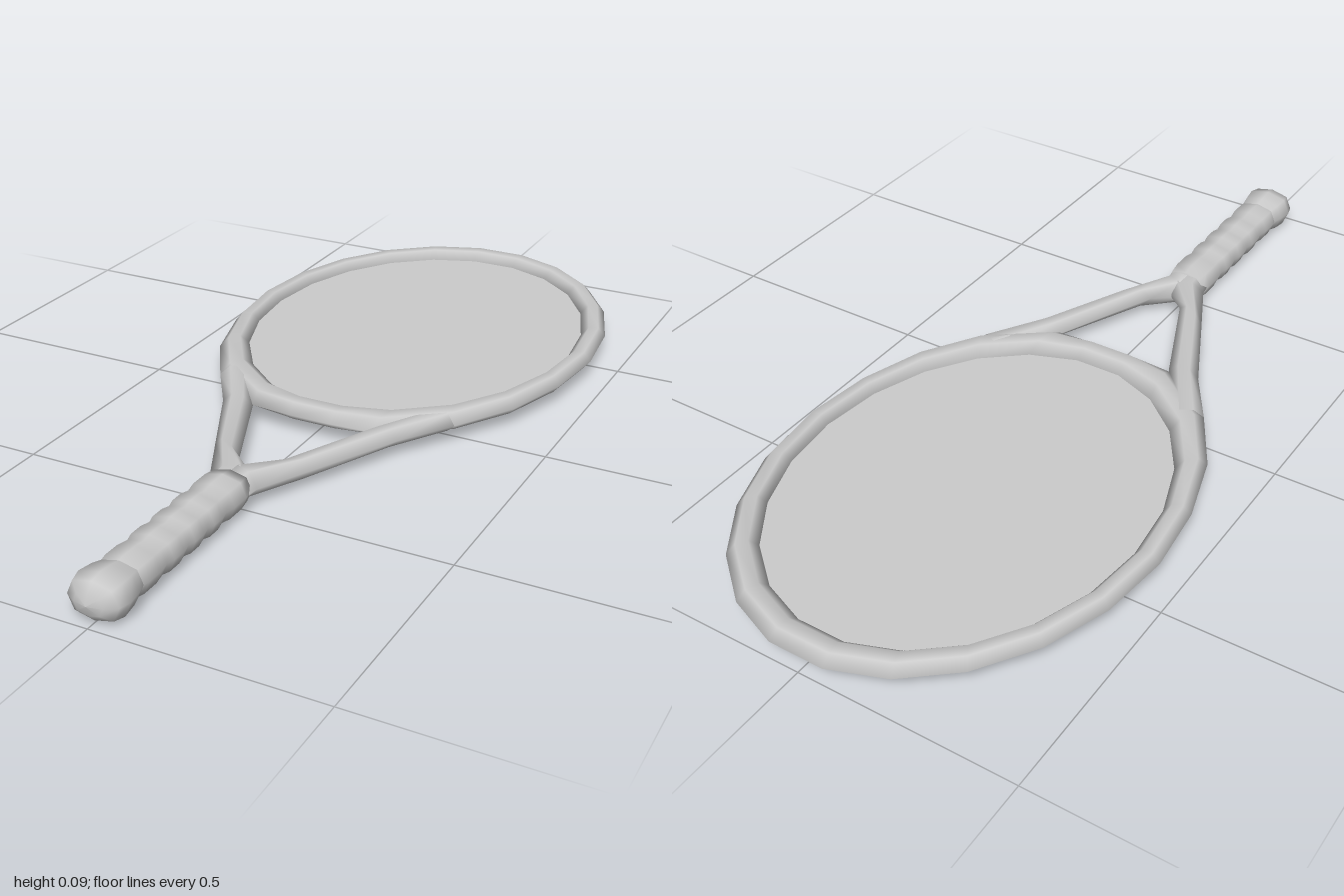
import * as THREE from 'three';

const MID = 0.048; // height of the racket's middle plane
const grey = new THREE.MeshStandardMaterial({ color: 0xcccccc, side: THREE.DoubleSide });

// Skins hexagonal sections, each given as [outerX, outerZ, innerX, innerZ, halfHeight]
function loft(name, sections, closed) {
  const pos = [], index = [], n = sections.length;
  const ring = [[0, 0], [0.3, 1], [0.7, 1], [1, 0], [0.7, -1], [0.3, -1]];
  for (const [ox, oz, ix, iz, h] of sections) {
    for (const [t, v] of ring) pos.push(ox + (ix - ox) * t, MID + v * h, oz + (iz - oz) * t);
  }
  for (let s = 0; s < (closed ? n : n - 1); s++) {
    for (let k = 0; k < 6; k++) {
      const a = s * 6 + k, b = s * 6 + (k + 1) % 6;
      const next = ((s + 1) % n) * 6, c = next + k, d = next + (k + 1) % 6;
      index.push(a, b, c, b, d, c);
    }
  }
  const geo = new THREE.BufferGeometry();
  geo.setAttribute('position', new THREE.Float32BufferAttribute(pos, 3));
  geo.setIndex(index);
  geo.computeVertexNormals();
  const mesh = new THREE.Mesh(geo, grey);
  mesh.name = name;
  return mesh;
}

const mirror = (sections) => sections.map(([ox, oz, ix, iz, h]) => [-ox, oz, -ix, iz, h]).reverse();

// Eight-sided turned part along z, slightly squarer than round
function turned(name, profile) {
  const geo = new THREE.LatheGeometry(profile.map(([r, z]) => new THREE.Vector2(r, z)), 8);
  geo.rotateX(Math.PI / 2);
  const p = geo.attributes.position;
  for (let i = 0; i < p.count; i++) {
    const x = p.getX(i), y = p.getY(i);
    const k = Math.min(Math.abs(x), Math.abs(y)) > 1e-4 ? 1.07 : 1;
    p.setXY(i, x * k, y * k * 0.73);
  }
  const mesh = new THREE.Mesh(geo, grey);
  mesh.position.y = MID;
  mesh.name = name;
  return mesh;
}

export function createModel() {
  const racket = new THREE.Group();
  racket.name = 'racket';
  const SIDES = 22, STEP = (Math.PI * 2) / SIDES, CZ = -0.425, RX = 0.395, RZ = 0.505;

  // Oval head, its lower end widening into the bridge above the throat
  const lower = { 7: [0.385, -0.1], 8: [0.3, 0.04], 9: [0.15, 0.15], 10: [0.05, 0.157] };
  const half = [];
  for (let i = 0; i < SIDES / 2; i++) {
    const a = (i + 0.5) * STEP, s = Math.sin(a), c = -Math.cos(a);
    const [ox, oz] = lower[i] ?? [0.453 * s, CZ + 0.581 * c];
    half.push([ox, oz, RX * s, CZ + RZ * c, 0.021]);
  }
  racket.add(loft('headFrame', [...half, ...mirror(half)], true));

  // String bed
  const bed = new THREE.CircleGeometry(1, SIDES, Math.PI / 2 + STEP / 2);
  bed.rotateX(-Math.PI / 2);
  bed.scale(RX, 1, RZ);
  const strings = new THREE.Mesh(bed, grey);
  strings.position.set(0, MID, CZ);
  strings.name = 'stringBed';
  racket.add(strings);

  // Throat arms, meeting at the handle
  const arm = [
    [0.3, 0.04, 0.23, 0.0, 0.021],
    [0.22, 0.16, 0.145, 0.155, 0.021],
    [0.125, 0.35, 0.04, 0.395, 0.023],
    [0.057, 0.485, -0.03, 0.448, 0.029],
    [0.05, 0.53, -0.03, 0.53, 0.029],
  ];
  racket.add(loft('leftThroatArm', arm, false));
  racket.add(loft('rightThroatArm', mirror(arm), false));

  // Handle wrapped in gently bulging turns of grip
  const seams = [0.495, 0.595, 0.665, 0.735, 0.81, 0.9];
  const grip = [[0, seams[0]]];
  for (let i = 0; i < seams.length - 1; i++) {
    const a = seams[i], d = seams[i + 1] - a;
    grip.push([0.05, a], [0.055, a + d * 0.3], [0.055, a + d * 0.75]);
  }
  grip.push([0.05, seams[5]]);
  racket.add(turned('grip', grip));

  // Flared butt cap
  racket.add(turned('buttCap', [
    [0.05, 0.885], [0.059, 0.915], [0.064, 0.95], [0.057, 0.977], [0.032, 0.993], [0, 1],
  ]));
  return racket;
}
